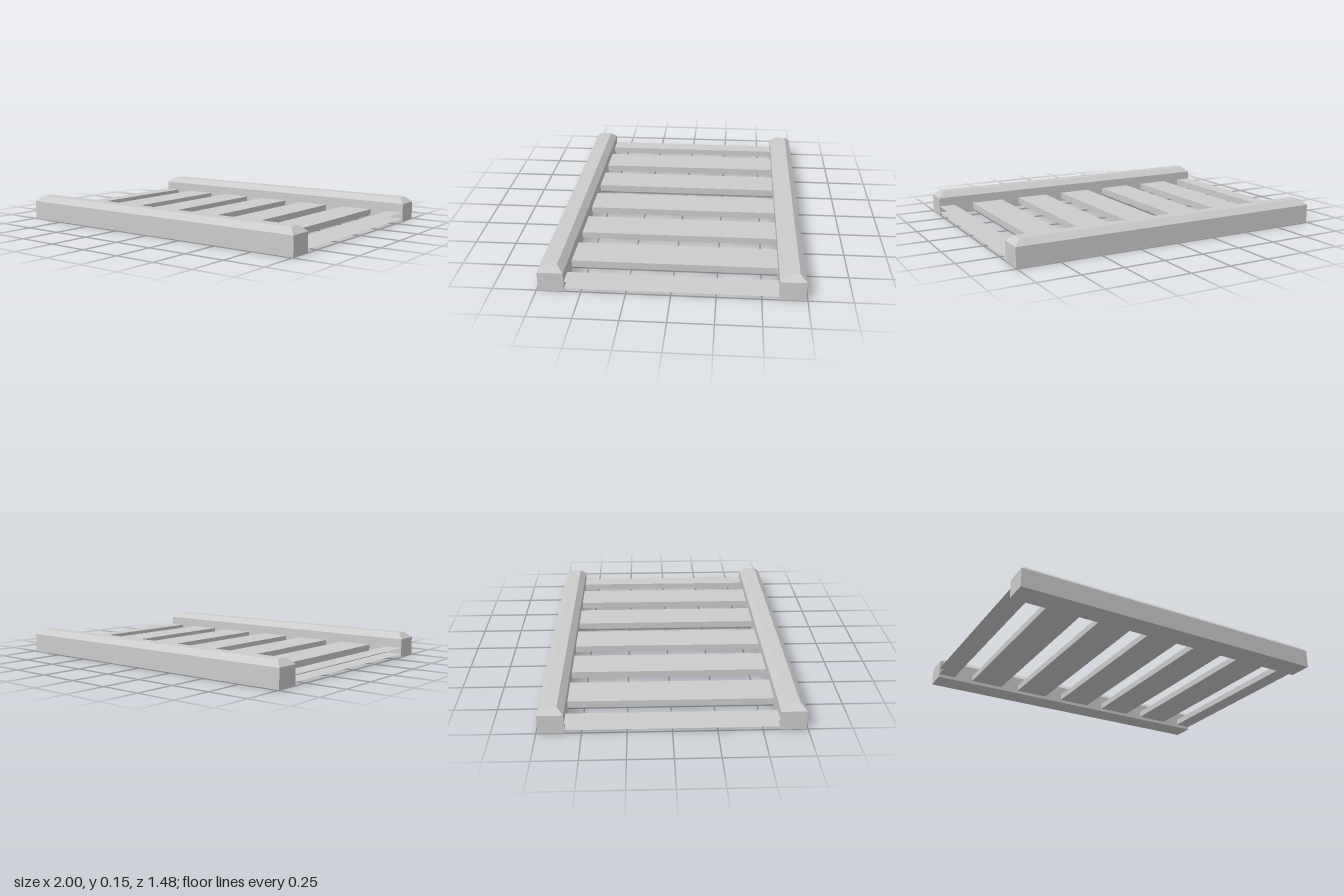
import * as THREE from 'three';

const material = new THREE.MeshStandardMaterial({ color: 0xcccccc, flatShading: true, side: THREE.DoubleSide });

const RAIL = { length: 2, width: 0.146, height: 0.15, shoulder: 0.115, bevel: 0.037, z: 0.667 };
const SLAT = { width: 0.21, height: 0.04, length: 1.188, y: 0.04, pitch: 0.3333 };

// Beam whose top edge is chamfered on all four sides
function railGeometry() {
  const geometry = new THREE.BoxGeometry(RAIL.length, RAIL.height, RAIL.width, 1, 2, 1);
  const p = geometry.attributes.position;
  for (let i = 0; i < p.count; i++) {
    const y = p.getY(i);
    if (y > 0.01) {
      p.setXYZ(i,
        p.getX(i) - Math.sign(p.getX(i)) * RAIL.bevel,
        RAIL.height,
        p.getZ(i) - Math.sign(p.getZ(i)) * RAIL.bevel);
    } else {
      p.setY(i, y < -0.01 ? 0 : RAIL.shoulder);
    }
  }
  geometry.computeVertexNormals();
  return geometry;
}

// Half-width slat, open on its outer side (+x or -x)
function endSlatGeometry(side) {
  const geometry = new THREE.BoxGeometry(SLAT.width / 2, SLAT.height, SLAT.length);
  const index = Array.from(geometry.index.array);
  index.splice(side > 0 ? 0 : 6, 6);
  geometry.setIndex(index);
  geometry.clearGroups();
  return geometry;
}

export function createModel() {
  const model = new THREE.Group();
  model.name = 'slattedPanel';

  function add(geometry, name, x, y, z) {
    const mesh = new THREE.Mesh(geometry, material);
    mesh.name = name;
    mesh.position.set(x, y, z);
    model.add(mesh);
  }

  // Front and back rails
  const rail = railGeometry();
  add(rail, 'frontRail', 0, 0, RAIL.z);
  add(rail, 'backRail', 0, 0, -RAIL.z);

  // Full slats between the rails
  const slat = new THREE.BoxGeometry(SLAT.width, SLAT.height, SLAT.length);
  for (let i = -2; i <= 2; i++) add(slat, `slat${i + 3}`, i * SLAT.pitch, SLAT.y, 0);

  // Half slats at both ends
  for (const side of [-1, 1]) {
    add(endSlatGeometry(side), side > 0 ? 'leftEndSlat' : 'rightEndSlat', side * (1 - SLAT.width / 4), SLAT.y, 0);
  }
  return model;
}
